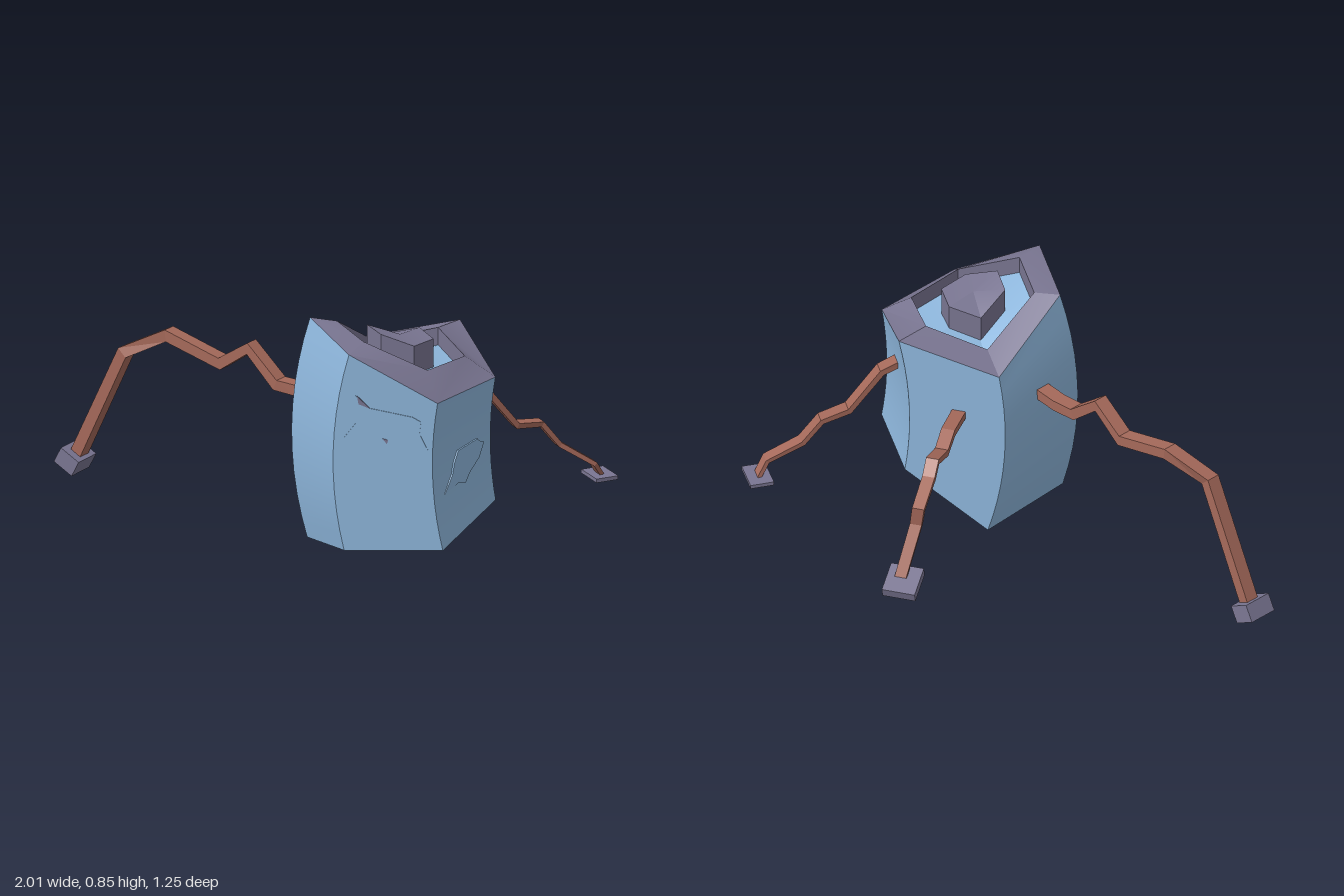
import * as THREE from 'three';
import { toCreasedNormals } from 'three/addons/utils/BufferGeometryUtils.js';

const V = (x, y, z) => new THREE.Vector3(x, y, z);
const mat = (color) => new THREE.MeshStandardMaterial({ color, side: THREE.DoubleSide });
const blue = mat(0x8fb8de), purple = mat(0x7a7692), brown = mat(0xa5695a);
const CZ = 0.322;

// The body is bowed sideways: x shifts with the height
const bow = (y) => 0.36 * (y - 0.42) ** 2;

// Hexagon ring; corners run right, back right, back left, left, front left, front right
const ring = (cx, r, ys, bent = false) => ys.map((y, k) => {
  const a = k * Math.PI / 3;
  return V(cx + r * Math.cos(a) + (bent ? bow(y) : 0), y, CZ - r * Math.sin(a));
});
const lift = (pts, dy) => pts.map((p) => V(p.x, p.y + dy, p.z));

// Quad strip between two closed rings
const band = (a, b) => a.flatMap((p, i) => {
  const j = (i + 1) % a.length;
  return [p, a[j], b[j], p, b[j], b[i]];
});
// Fan that closes a ring
const cap = (pts, down = false) => {
  const c = pts.reduce((s, p) => s.add(p), V(0, 0, 0)).divideScalar(pts.length);
  return pts.flatMap((p, i) => {
    const q = pts[(i + 1) % pts.length];
    return down ? [c, q, p] : [c, p, q];
  });
};

function surface(name, tris, material, crease = 0.45) {
  const g = new THREE.BufferGeometry().setFromPoints(tris);
  const m = new THREE.Mesh(toCreasedNormals(g, crease), material);
  m.name = name;
  return m;
}

// Jointed limb: rectangular section swept along points, mitred at each joint
function limb(name, path, side, w0, w1, h0, h1) {
  const pts = path.map((p) => V(...p));
  const s = V(...side).normalize(), n = pts.length - 1;
  const rings = pts.map((p, i) => {
    const d0 = pts[Math.max(i, 1)].clone().sub(pts[Math.max(i - 1, 0)]).normalize();
    const d1 = pts[Math.min(i + 1, n)].clone().sub(pts[Math.min(i, n - 1)]).normalize();
    const up = d0.add(d1).normalize().cross(s).normalize();
    const w = THREE.MathUtils.lerp(w0, w1, i / n) / 2, h = THREE.MathUtils.lerp(h0, h1, i / n) / 2;
    return [[1, 1], [-1, 1], [-1, -1], [1, -1]].map(([a, b]) =>
      p.clone().addScaledVector(s, a * w).addScaledVector(up, b * h));
  });
  const tris = [...cap(rings[0], true), ...cap(rings[n])];
  for (let i = 0; i < n; i++) tris.push(...band(rings[i], rings[i + 1]));
  return surface(name, tris, brown, 0.01);
}

function foot(name, size, pos, axis, yaw) {
  const m = new THREE.Mesh(new THREE.BoxGeometry(...size), purple);
  m.name = name;
  m.position.set(...pos);
  m.quaternion.setFromUnitVectors(V(0, 1, 0), V(...axis).normalize())
    .multiply(new THREE.Quaternion().setFromAxisAngle(V(0, 1, 0), yaw));
  return m;
}

// Flat patch drawn in a plane's own x and y
function patch(name, outline, material, pos, yaw) {
  const shape = new THREE.Shape(outline.map(([x, y]) => new THREE.Vector2(x, y)));
  const m = new THREE.Mesh(new THREE.ExtrudeGeometry(shape, { depth: 0.006, bevelEnabled: false }), material);
  m.name = name;
  m.position.set(...pos);
  m.rotation.y = yaw;
  return m;
}

export function createModel() {
  const model = new THREE.Group();

  // Bowed six-sided shell with slanting ends
  const bottomY = [0.19, 0.2, 0.0, 0.03, 0.09, 0.1];
  const topY = [0.645, 0.75, 0.67, 0.845, 0.815, 0.645];
  const rows = 10, level = (t) => ring(0.235, 0.35, topY.map((y, k) => bottomY[k] + (y - bottomY[k]) * t), true);
  const walls = [];
  for (let i = 0; i < rows; i++) walls.push(...band(level(i / rows), level((i + 1) / rows)));
  model.add(surface('bodyWalls', walls, blue, 0.5));
  model.add(surface('bodyUnderside', cap(level(0), true), blue));

  // Top rim, recess and raised middle
  const inner = ring(0.27, 0.225, [0.72, 0.755, 0.7, 0.835, 0.828, 0.73]);
  const floor = lift(inner, -0.065);
  model.add(surface('topRim', band(level(1), inner), purple));
  model.add(surface('recessWalls', band(inner, floor), purple));
  model.add(surface('recessFloor', cap(floor), blue));
  const knob = ring(0.268, 0.117, [0.78, 0.785, 0.76, 0.825, 0.825, 0.785]);
  model.add(surface('topKnob', [...band(lift(knob, -0.13), knob), ...cap(knob)], purple, 0.3));

  // Plug under the body
  const plug = ring(0.26, 0.115, [0.155, 0.135, 0.05, 0.06, 0.1, 0.11]);
  model.add(surface('bottomPlug', [...band(plug, lift(plug, 0.07)), ...cap(plug, true)], purple, 0.3));

  // Ragged patches on the front and front left faces
  model.add(patch('frontPatch', [[0.14, 0.665], [0.19, 0.62], [0.34, 0.592], [0.37, 0.575], [0.365, 0.53],
    [0.395, 0.47], [0.3, 0.505], [0.25, 0.495], [0.1, 0.51], [0.145, 0.57]], blue, [0, 0, 0.622], 0));
  model.add(patch('frontChip', [[0.145, 0.665], [0.19, 0.62], [0.15, 0.635]], purple, [0, 0, 0.624], 0));
  model.add(patch('lowerFrontChip', [[0.235, 0.51], [0.255, 0.505], [0.25, 0.49]], purple, [0, 0, 0.624], 0));
  const sideOutline = [[0.57, 0.29], [0.53, 0.35], [0.52, 0.39], [0.5, 0.43], [0.4, 0.442], [0.38, 0.425],
    [0.365, 0.42], [0.39, 0.37], [0.44, 0.33], [0.46, 0.3], [0.5, 0.31]]
    .map(([z, y]) => [(0.474 - z) / Math.cos(Math.PI / 6), y]);
  model.add(patch('sidePatch', sideOutline, blue, [0.4995, 0, 0.474], Math.PI / 3));

  // Long leg on the right, back leg, and thin leg on the left
  model.add(limb('rightLeg', [[0, 0.52, 0.2], [-0.1, 0.515, 0.14], [-0.18, 0.52, 0.1], [-0.285, 0.628, 0.03],
    [-0.39, 0.545, -0.035], [-0.59, 0.605, -0.145], [-0.745, 0.53, -0.165], [-0.925, 0.1, -0.275]],
  [0.5, 0, -0.866], 0.055, 0.05, 0.04, 0.045));
  model.add(foot('rightFoot', [0.085, 0.065, 0.11], [-0.935, 0.09, -0.278], [0.19, 0.41, 0.115], -0.5));

  model.add(limb('backLeg', [[0.23, 0.478, 0.05], [0.23, 0.492, -0.11], [0.23, 0.462, -0.19], [0.23, 0.5, -0.3],
    [0.23, 0.457, -0.345], [0.23, 0.41, -0.47], [0.24, 0.34, -0.465], [0.27, 0.165, -0.555]],
  [1, 0, 0], 0.05, 0.042, 0.03, 0.015));
  model.add(foot('backFoot', [0.12, 0.035, 0.12], [0.26, 0.148, -0.558], [0, 0.95, -0.3], 0));

  model.add(limb('leftLeg', [[0.48, 0.555, 0.19], [0.55, 0.53, 0.13], [0.65, 0.385, 0.07], [0.73, 0.37, 0],
    [0.79, 0.285, -0.03], [0.91, 0.205, -0.065], [0.93, 0.155, -0.1]],
  [0.5, 0, 0.866], 0.05, 0.045, 0.025, 0.015));
  model.add(foot('leftFoot', [0.085, 0.014, 0.12], [0.93, 0.15, -0.1], [0, 1, 0], 0.56));

  return model;
}
